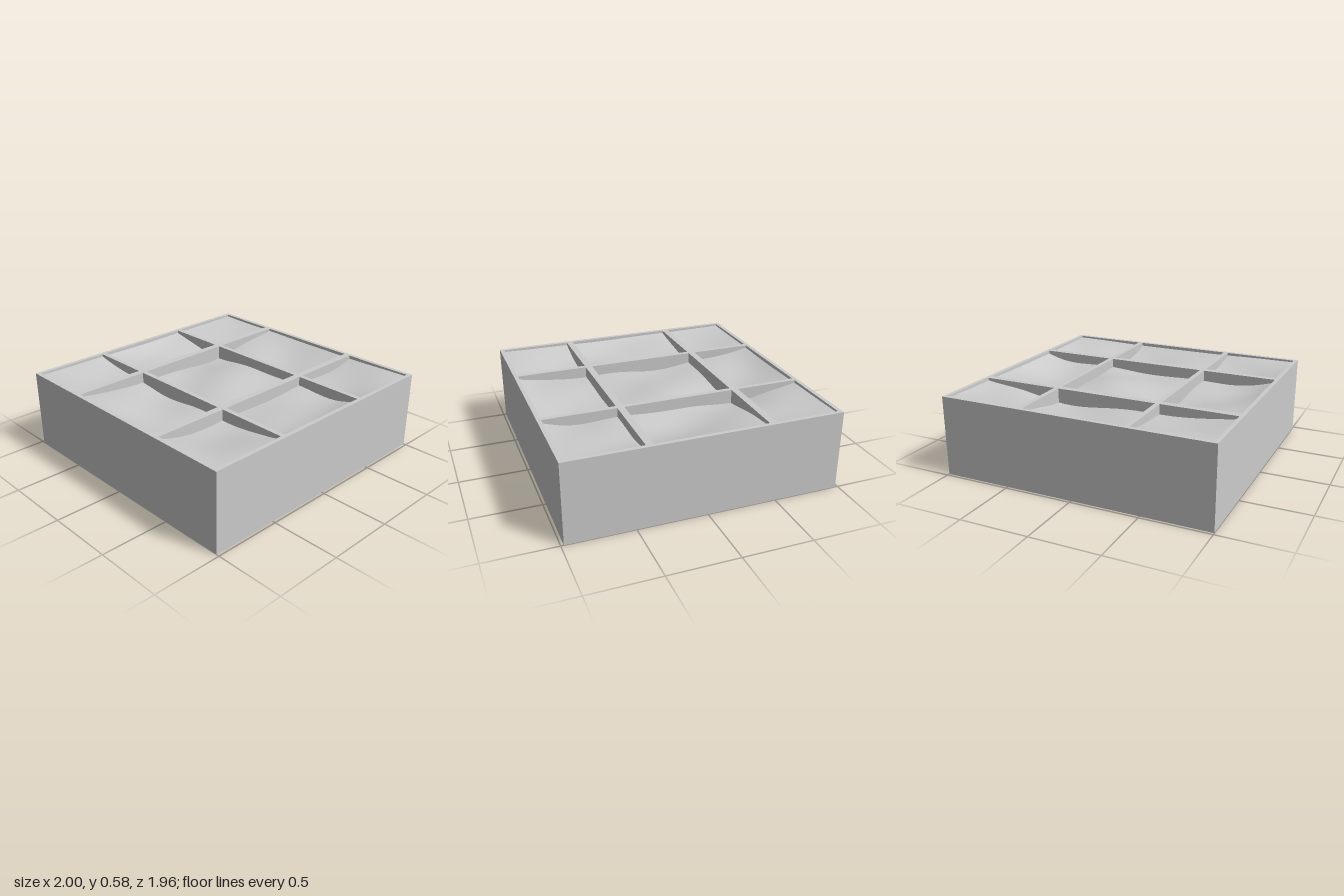
import * as THREE from 'three';

const W = 1, D = 0.98, H = 0.585, T = 0.03, GAP_TOP = 0.38;
const material = new THREE.MeshStandardMaterial({ color: 0xcccccc });
const sheetMaterial = new THREE.MeshStandardMaterial({ color: 0xcccccc, side: THREE.DoubleSide });

// Upright panel in the xy plane with door-like notches cut from its lower edge
function panel(name, half, thickness, gaps = []) {
  const shape = new THREE.Shape();
  shape.moveTo(-half, 0);
  for (const [a, b] of gaps) {
    shape.lineTo(a, 0);
    shape.lineTo(a, GAP_TOP);
    shape.lineTo(b, GAP_TOP);
    shape.lineTo(b, 0);
  }
  shape.lineTo(half, 0);
  shape.lineTo(half, H);
  shape.lineTo(-half, H);
  const geometry = new THREE.ExtrudeGeometry(shape, { depth: thickness, bevelEnabled: false });
  geometry.translate(0, 0, -thickness / 2);
  const mesh = new THREE.Mesh(geometry, material);
  mesh.name = name;
  return mesh;
}

// Gently rolling ground: near the rim at the outer walls, sunken toward the middle
function groundHeight(x, z) {
  const bowl = (1 - x ** 4) * (1 - (z / D) ** 4);
  const waves = 0.025 * Math.sin(4.1 * x + 1.3) * Math.cos(3.7 * z - 0.5)
    + 0.012 * Math.sin(7.3 * x - 5.1 * z) + 0.008 * Math.cos(9.7 * z + 4.3 * x);
  return 0.572 - bowl * (0.075 - waves);
}

export function createModel() {
  const group = new THREE.Group();

  // Outer frame
  for (const s of [-1, 1]) {
    const end = panel(s > 0 ? 'frontWall' : 'backWall', W, T);
    end.position.z = s * (D - T / 2);
    const side = panel(s > 0 ? 'leftWall' : 'rightWall', D - T, T);
    side.rotation.y = -Math.PI / 2;
    side.position.x = s * (W - T / 2);
    group.add(end, side);
  }

  // Dividers running across the width
  for (const z of [-0.46, 0.4]) {
    const divider = panel('crossDivider', W - T, 0.05, [[-0.79, -0.64], [-0.12, 0.1], [0.62, 0.78]]);
    divider.position.z = z;
    group.add(divider);
  }

  // Dividers running front to back
  for (const x of [-0.4, 0.385]) {
    const divider = panel('lengthDivider', D - T, 0.035, [[-0.9, -0.74], [-0.18, 0.12]]);
    divider.rotation.y = -Math.PI / 2;
    divider.position.x = x;
    group.add(divider);
  }

  // Rolling ground sheet through all nine cells
  const geometry = new THREE.PlaneGeometry(2 * (W - T), 2 * (D - T), 64, 64).rotateX(-Math.PI / 2);
  const p = geometry.attributes.position;
  for (let i = 0; i < p.count; i++) p.setY(i, groundHeight(p.getX(i), p.getZ(i)));
  geometry.computeVertexNormals();
  const ground = new THREE.Mesh(geometry, sheetMaterial);
  ground.name = 'groundSurface';
  group.add(ground);

  return group;
}
